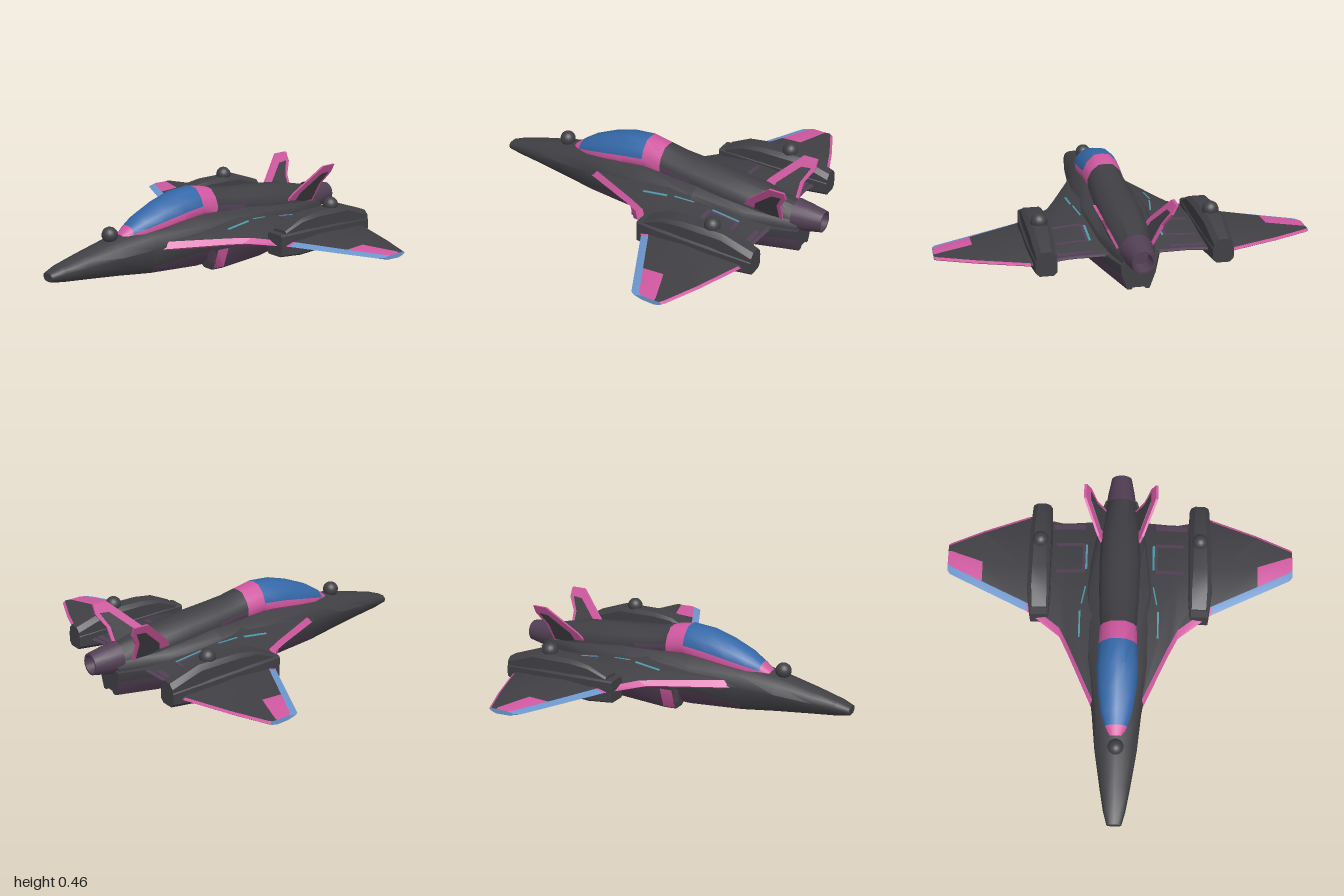
import * as THREE from 'three';
import { toCreasedNormals } from 'three/addons/utils/BufferGeometryUtils.js';

const mat = (name, color) => {
  const m = new THREE.MeshStandardMaterial({ color });
  m.name = name;
  return m;
};

export function createModel() {
  const hull = mat('charcoal hull', 0x403f44);
  const plum = mat('plum panels', 0x523f54);
  const pink = mat('pink trim', 0xd058a0);
  const glass = mat('canopy blue', 0x3468a8);
  const sky = mat('light blue edge', 0x6c96cc);
  const teal = mat('teal lines', 0x4a98a8);
  const model = new THREE.Group();
  model.name = 'fighter';

  const add = (parent, name, geometry, material) => {
    const mesh = new THREE.Mesh(geometry, material);
    mesh.name = name;
    parent.add(mesh);
    return mesh;
  };

  // Skins closed rings of [x, y, z] points; colour(i, j) picks each face's material
  function loft(parent, name, rings, colour, crease = 0.6) {
    const buckets = new Map();
    let volume = 0;
    const tri = (m, a, b, c) => {
      const [A, B, C] = [a, b, c].map((p) => new THREE.Vector3(...p));
      volume += A.dot(B.cross(C));
      if (!buckets.has(m)) buckets.set(m, []);
      buckets.get(m).push([a, b, c]);
    };
    const n = rings[0].length;
    for (let i = 0; i < rings.length - 1; i++) {
      for (let j = 0; j < n; j++) {
        const k = (j + 1) % n, m = colour(i, j);
        tri(m, rings[i][j], rings[i + 1][j], rings[i + 1][k]);
        tri(m, rings[i][j], rings[i + 1][k], rings[i][k]);
      }
    }
    [0, rings.length - 1].forEach((i, end) => {
      const r = rings[i];
      const mid = [0, 1, 2].map((a) => r.reduce((s, p) => s + p[a], 0) / n);
      const m = colour(Math.min(i, rings.length - 2), 0);
      r.forEach((p, j) => {
        const q = r[(j + 1) % n];
        end ? tri(m, mid, q, p) : tri(m, mid, p, q);
      });
    });
    const geo = new THREE.BufferGeometry(), data = [], mats = [];
    for (const [m, tris] of buckets) {
      geo.addGroup(data.length / 3, tris.length * 3, mats.length);
      mats.push(m);
      for (const [a, b, c] of tris) data.push(...a, ...(volume > 0 ? b : c), ...(volume > 0 ? c : b));
    }
    geo.setAttribute('position', new THREE.Float32BufferAttribute(data, 3));
    return add(parent, name, toCreasedNormals(geo, crease), mats);
  }

  // Mirrors a half profile, top to bottom, into a full ring at z
  const sym = (half, z) => [
    ...half.map(([x, y]) => [x, y, z]),
    ...half.filter(([x]) => x > 0).reverse().map(([x, y]) => [-x, y, z]),
  ];

  // Fuselage from nose to tail: z, then top, shoulder, side and bottom points
  const body = [
    [1.0, .145, .02, .145, .035, .137, .04, .125, .035, .11, .02, .10],
    [.93, .172, .03, .169, .052, .158, .06, .138, .052, .11, .03, .09],
    [.8, .205, .04, .2, .07, .18, .083, .15, .07, .105, .04, .078],
    [.6, .25, .05, .243, .09, .215, .115, .17, .1, .10, .06, .06],
    [.4, .275, .07, .272, .11, .24, .135, .18, .115, .08, .08, .038],
    [.1, .30, .09, .30, .15, .25, .18, .2, .17, .12, .1, .02],
    [-.3, .30, .1, .29, .17, .26, .2, .2, .18, .1, .12, .03],
    [-.6, .27, .1, .26, .14, .23, .15, .19, .13, .1, .08, .045],
    [-.88, .25, .05, .25, .07, .23, .08, .19, .07, .1, .05, .05],
  ].map(([z, yt, tx, ty, sx, sy, wx, wy, ux, uy, bx, by]) =>
    sym([[0, yt], [tx, ty], [sx, sy], [wx, wy], [ux, uy], [bx, by], [0, by]], z));
  loft(model, 'fuselage', body, (i, j) => (Math.min(j, 11 - j) > 3 && i > 3 ? plum : hull), 0.7);

  // Canopy and dorsal spine: z, top, half width, base
  const spine = [
    [.54, .262, .035, .24], [.49, .30, .06, .245], [.42, .345, .085, .25], [.3, .395, .105, .265],
    [.18, .43, .113, .28], [.05, .442, .105, .29], [-.06, .42, .1, .28], [-.15, .4, .105, .27],
    [-.25, .388, .11, .26], [-.45, .37, .115, .23], [-.65, .345, .11, .2], [-.86, .295, .08, .165],
  ].map(([z, yt, w, yb]) => {
    const h = yt - yb;
    return sym([[0, yt], [w * .4, yt - h * .03], [w * .8, yt - h * .3], [w, yt - h * .62],
      [w * .97, yb + h * .12], [w * .8, yb]], z);
  });
  loft(model, 'canopyAndSpine', spine, (i, j) => {
    const k = Math.min(j, 10 - j);
    if (i === 0 || i === 5) return pink;
    if (i < 5) return k < 3 ? glass : pink;
    return k >= 3 && i < 8 ? plum : hull;
  }, 0.7);

  // Intake belly: z, upper half width, lower half width, bottom
  const belly = [
    [.05, .24, .19, .005], [-.02, .245, .195, .003], [-.3, .25, .19, .015],
    [-.6, .19, .13, .033], [-.89, .09, .06, .045],
  ].map(([z, tw, bw, by]) => sym([[0, .2], [tw, .18], [tw * .96, .13], [bw, by + .01],
    [bw * .93, by], [bw * .6, by], [bw * .5, by + .015], [0, by + .015]], z));
  loft(model, 'intakeBelly', belly, (i, j) => {
    const k = Math.min(j, 13 - j);
    if (i === 0) return k === 2 ? pink : hull;
    return k > 1 ? plum : hull;
  });

  // Tail nozzle with an open end
  const profile = [[.085, 0], [.075, .07], [.058, .16], [.048, .16], [.04, .08], [0, .08]]
    .map(([r, d]) => new THREE.Vector2(r, d));
  const nozzle = add(model, 'nozzle', toCreasedNormals(new THREE.LatheGeometry(profile, 20), 0.6), plum);
  plum.side = THREE.DoubleSide;
  nozzle.rotation.x = -Math.PI / 2;
  nozzle.position.set(0, .23, -.84);

  // Wing stations: x, leading z, trailing z, mid y, top rise, crest fraction
  const stations = [
    [.05, .44, -.76, .175, .1, .45], [.14, .36, -.755, .175, .09, .45], [.28, .05, -.745, .172, .065, .4],
    [.33, -.05, -.745, .17, .055, .4], [.52, -.2, -.785, .167, .03, .42], [.78, -.327, -.69, .165, .018, .45],
    [.965, -.418, -.61, .164, .012, .72], [.98, -.44, -.6, .164, .008, .72],
  ];
  const chord = ([, lead, trail, y, rise, f]) => {
    const c = lead - trail, crest = lead - c * f;
    return [[lead, y], [lead - .045, y + rise * .3 + .008], [crest, y + rise], [trail + .015, y + .009],
      [trail, y], [trail + .015, y - .009], [crest, y - .015 - rise * .25], [lead - .045, y - .013]];
  };
  // Height of the upper wing surface at x, z
  const wingTop = (x, z) => {
    const i = Math.max(1, stations.findIndex((s) => s[0] >= x));
    const a = stations[i - 1], b = stations[i], t = (x - a[0]) / (b[0] - a[0]);
    const p = chord(a.map((v, n) => v + (b[n] - v) * t));
    for (let j = 0; j < 3; j++) {
      if (z <= p[j][0] && z >= p[j + 1][0]) {
        return p[j][1] + (p[j + 1][1] - p[j][1]) * (p[j][0] - z) / (p[j][0] - p[j + 1][0]);
      }
    }
    return p[3][1];
  };
  // Thin painted line lying on the wing
  const stripe = (parent, name, x0, z0, x1, z1, w, material) => {
    const len = Math.hypot(x1 - x0, z1 - z0), ox = -(z1 - z0) / len * w / 2, oz = (x1 - x0) / len * w / 2;
    const rings = [];
    for (let i = 0; i <= 6; i++) {
      const x = x0 + (x1 - x0) * i / 6, z = z0 + (z1 - z0) * i / 6;
      const [ya, yb] = [wingTop(x + ox, z + oz), wingTop(x - ox, z - oz)];
      rings.push([[x + ox, ya + .004, z + oz], [x - ox, yb + .004, z - oz],
        [x - ox, yb - .004, z - oz], [x + ox, ya - .004, z + oz]]);
    }
    loft(parent, name, rings, () => material);
  };

  // Everything that exists once on each side
  for (const side of [1, -1]) {
    const half = new THREE.Group();
    half.name = side > 0 ? 'leftSide' : 'rightSide';
    half.scale.x = side;
    model.add(half);

    const rings = stations.map((s) => chord(s).map(([z, y]) => [s[0], y, z]));
    loft(half, 'wing', rings, (i, j) => {
      if (j === 0 || j === 7) return i < 4 ? pink : sky;
      if (j === 1 && i >= 5) return pink;
      if (j === 3 || j === 4) return i >= 4 ? pink : plum;
      return j > 4 ? plum : hull;
    }, 0.5);

    // Panel outline and glowing seams
    stripe(half, 'panelFront', .2, -.43, .36, -.43, .022, plum);
    stripe(half, 'panelBack', .2, -.6, .36, -.6, .02, plum);
    stripe(half, 'panelInner', .205, -.6, .205, -.42, .016, plum);
    stripe(half, 'rearBand', .2, -.715, .38, -.715, .03, plum);
    stripe(half, 'innerSeam', .135, -.6, .135, -.46, .012, teal);
    stripe(half, 'outerSeam', .19, -.6, .19, -.44, .012, teal);
    stripe(half, 'frontSeam', .218, -.18, .218, -.03, .01, teal);
    stripe(half, 'middleSeam', .19, -.33, .21, -.22, .008, teal);

    // Wing pod: lower body and upper nacelle as chamfered boxes
    const block = ([z, x0, x1, y0, y1, c]) => [[x0 + c, y1], [x1 - c, y1], [x1, y1 - c], [x1, y0 + c],
      [x1 - c, y0], [x0 + c, y0], [x0, y0 + c], [x0, y1 - c]].map(([x, y]) => [x, y, z]);
    loft(half, 'podLower', [
      [-.16, .395, .5, .11, .23, .008], [-.3, .385, .518, .1, .235, .01],
      [-.6, .385, .518, .105, .235, .02], [-.83, .395, .505, .125, .22, .02],
    ].map(block), (i, j) => (j === 4 ? plum : hull), 0.4);
    loft(half, 'podUpper', [
      [-.2, .395, .495, .18, .245, .01], [-.31, .39, .505, .18, .295, .015],
      [-.42, .39, .508, .18, .31, .02], [-.66, .39, .508, .18, .31, .025], [-.83, .4, .5, .15, .25, .025],
    ].map(block), () => hull, 0.4);
    add(half, 'podDome', new THREE.SphereGeometry(.043, 20, 14), hull).position.set(.447, .32, -.58);

    // Intake mouth
    add(half, 'intakeMouth', new THREE.BoxGeometry(.05, .07, .008), plum).position.set(.18, .08, .05);

    // Canted tail fin: pink frame with a dark panel through it
    const fin = (name, points, depth, material) => {
      const shape = new THREE.Shape(points.map(([z, y]) => new THREE.Vector2(z, y)));
      const geo = new THREE.ExtrudeGeometry(shape, { depth, bevelEnabled: false });
      geo.translate(0, 0, -depth / 2).rotateY(-Math.PI / 2);
      const p = geo.attributes.position;
      for (let i = 0; i < p.count; i++) p.setX(i, p.getX(i) + .105 + (p.getY(i) - .27) * .5);
      geo.computeVertexNormals();
      add(half, name, geo, material);
    };
    fin('finFrame', [[-.58, .26], [-.61, .31], [-.77, .46], [-.855, .46], [-.855, .41], [-.81, .34], [-.8, .22]], .014, pink);
    fin('finPanel', [[-.64, .24], [-.66, .305], [-.775, .41], [-.83, .415], [-.79, .34], [-.785, .24]], .02, hull);
  }

  // Sensor ball ahead of the canopy
  add(model, 'noseSensor', new THREE.SphereGeometry(.043, 20, 14), hull).position.set(0, .272, .605);
  return model;
}
